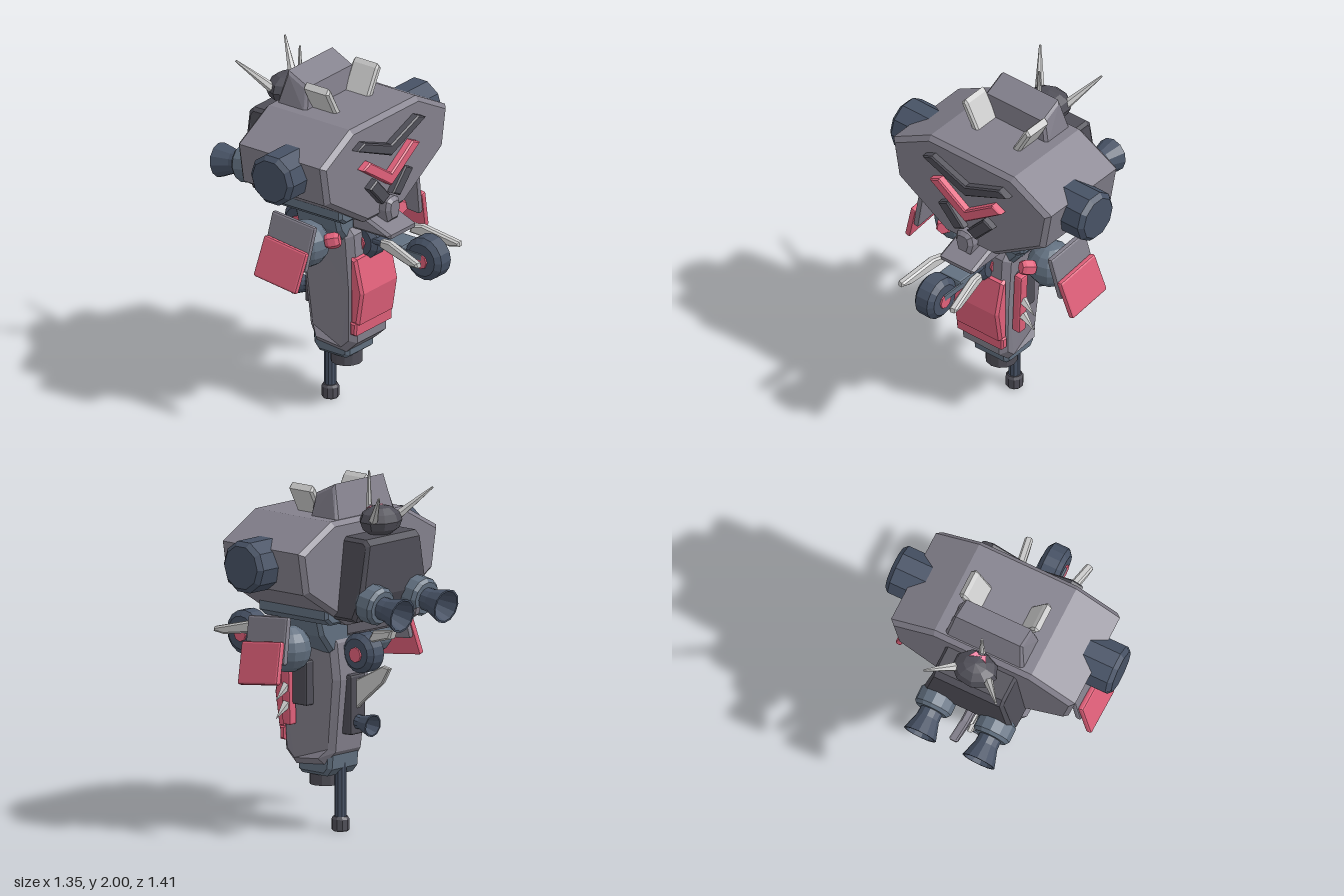
import * as THREE from 'three';
import { RoundedBoxGeometry } from 'three/addons/geometries/RoundedBoxGeometry.js';

const mat = (color) => new THREE.MeshStandardMaterial({ color, flatShading: true, side: THREE.DoubleSide });
const GREY = mat(0x83808c), DARK = mat(0x4f4e57), RED = mat(0xe0607a), NAVY = mat(0x475265);
const STEEL = mat(0x627080), WHITE = mat(0xd8d8d4), PINK = mat(0xff8fb0);

export function createModel() {
  const model = new THREE.Group();

  const add = (name, geo, material, pos = [0, 0, 0], rot = [0, 0, 0]) => {
    const m = new THREE.Mesh(geo, material);
    m.name = name;
    m.position.set(...pos);
    m.rotation.set(...rot);
    model.add(m);
    return m;
  };
  const box = (w, h, d, r = 0.012) => new RoundedBoxGeometry(w, h, d, 1, r);
  // Outline in x,y extruded along z, centred, with a bevel kept inside the outline
  const slab = (pts, depth, bevel = 0.01) => {
    const shape = new THREE.Shape(pts.map((p) => new THREE.Vector2(...p)));
    const g = new THREE.ExtrudeGeometry(shape, {
      depth: depth - 2 * bevel, bevelEnabled: bevel > 0, bevelThickness: bevel,
      bevelSize: bevel, bevelOffset: -bevel, bevelSegments: 1,
    });
    return g.translate(0, 0, bevel - depth / 2);
  };
  // Outline in z,y extruded along x
  const sideSlab = (pts, width, bevel = 0.01) => slab(pts, width, bevel).rotateY(-Math.PI / 2);
  // Turned part along y from [radius, height] pairs
  const turned = (pts, sides = 12) => new THREE.LatheGeometry(pts.map((p) => new THREE.Vector2(...p)), sides);
  const mirrored = (pts) => [...pts, ...pts.slice().reverse().map(([x, y]) => [-x, y])];
  // Tapered spike between two points
  const spike = (name, a, b, r0, r1, material, sides = 6) => {
    const from = new THREE.Vector3(...a), to = new THREE.Vector3(...b);
    const dir = to.clone().sub(from);
    const m = add(name, new THREE.CylinderGeometry(r1, r0, dir.length(), sides), material);
    m.position.copy(from).add(to).multiplyScalar(0.5);
    m.quaternion.setFromUnitVectors(new THREE.Vector3(0, 1, 0), dir.normalize());
  };

  // Chest
  add('chest', slab(mirrored([[0.165, 1.175], [0.51, 1.39], [0.55, 1.62], [0.29, 1.76]]), 0.595, 0.025), GREY, [0, 0, -0.005]);
  const chevron = (name, tipY, innerY, x0, y0, x1, y1, material) =>
    add(name, slab([[0, tipY], [x1, y1], [x0, y0], [0, innerY], [-x0, y0], [-x1, y1]], 0.06, 0.008), material, [0, 0, 0.305]);
  chevron('upperChevron', 1.525, 1.59, 0.235, 1.68, 0.3, 1.65, DARK);
  chevron('middleChevron', 1.35, 1.425, 0.185, 1.55, 0.25, 1.52, RED);
  for (const s of [-1, 1]) {
    add('lowerChevron', slab([[0.01, 1.3], [0.125, 1.425], [0.19, 1.39], [0.075, 1.265]].map(([x, y]) => [s * x, y]), 0.06, 0.008), DARK, [0, 0, 0.305]);
  }
  add('chestGem', slab(mirrored([[0.04, 1.15], [0.06, 1.22], [0.05, 1.27], [0.02, 1.285]]), 0.11, 0.02), GREY, [0, 0, 0.3]);

  // Raised collar block
  const collar = sideSlab([[-0.07, 1.74], [-0.085, 1.88], [-0.22, 1.945], [-0.275, 1.74]], 0.47, 0.015);
  const cp = collar.attributes.position;
  for (let i = 0; i < cp.count; i++) if (cp.getY(i) > 1.83) cp.setX(i, cp.getX(i) * 0.87);
  collar.computeVertexNormals();
  add('collar', collar, GREY);

  // Head facing up, with eyes, nose horn and side horns
  add('head', new THREE.SphereGeometry(0.13, 9, 6).scale(1, 0.65, 0.82), DARK, [0, 1.74, -0.375]);
  add('nose', new THREE.SphereGeometry(0.02, 6, 4), GREY, [0, 1.8, -0.3]);
  spike('noseHorn', [0, 1.76, -0.292], [0, 2, -0.292], 0.02, 0.006, WHITE);

  for (const s of [-1, 1]) {
    add('eye', slab([[0, -0.008], [0.03, -0.022], [0.05, 0.025], [0, 0.005]].map(([x, y]) => [s * x, y]), 0.02, 0), PINK,
      [0, 1.802, -0.325], [-1.15, 0, 0]);
    spike('sideHorn', [s * 0.09, 1.75, -0.405], [s * 0.215, 1.915, -0.56], 0.028, 0.006, WHITE);
    add('collarBlade', slab([[0.11, 1.74], [0.16, 1.74], [0.24, 1.89], [0.215, 1.92], [0.195, 1.9]].map(([x, y]) => [s * x, y]), 0.17, 0.012),
      WHITE, [0, 0, -0.005]);

    // Shoulder drums
    add('shoulder', turned([[0, 0.35], [0.145, 0.35], [0.145, 0.65], [0.12, 0.675], [0, 0.675]], 10), NAVY, [0, 1.525, 0.025], [0, 0, -s * Math.PI / 2]);

    // Back thrusters, pointing back and slightly down
    const tilt = -Math.PI / 2 - 0.16;
    add('thrusterRing', turned([[0, -0.06], [0.09, -0.06], [0.107, -0.04], [0.107, 0.04], [0.09, 0.06], [0.06, 0.06]]), STEEL, [s * 0.175, 1.32, -0.492], [tilt, 0, 0]);
    add('thrusterNozzle', turned([[0, 0], [0.063, 0], [0.065, 0.06], [0.096, 0.16], [0.085, 0.16], [0.05, 0.05], [0, 0.05]]), NAVY, [s * 0.175, 1.31, -0.535], [tilt, 0, 0]);

    // Hip joints and hanging side plates
    add('hipBall', new THREE.SphereGeometry(0.13, 12, 8), STEEL, [s * 0.325, 1.035, 0]);
    add('hipBolt', turned([[0, -0.04], [0.035, -0.04], [0.045, -0.02], [0.045, 0.02], [0.035, 0.04], [0, 0.04]], 6), RED, [s * 0.29, 1.08, 0.155], [1.3, 0, s * 0.5]);
    add('innerPlate', box(0.035, 0.26, 0.29), GREY, [s * 0.475, 1.1, 0.01], [0.09, 0, s * 0.22]);
    add('outerPlate', box(0.036, 0.235, 0.29), RED, [s * 0.54, 0.985, 0.0], [0.12, 0, s * 0.28]);

    // Front tusks and wheel fork
    const tusk = sideSlab([[0.36, 1.045], [0.37, 1.09], [0.44, 1.1], [0.66, 1.045], [0.665, 1.02], [0.6, 1.01]], 0.045, 0.01);
    add('tusk', tusk.translate(0, 0, -0.37), WHITE, [s * 0.13, 0, 0.37], [0, s * 0.18, 0]);
    add('fork', box(0.012, 0.035, 0.2, 0.003), STEEL, [s * 0.07, 1.02, 0.49]);
  }

  // Backpack, narrower towards the top
  const pack = sideSlab([[-0.26, 1.67], [-0.45, 1.67], [-0.48, 1.64], [-0.48, 1.36], [-0.42, 1.22], [-0.26, 1.22]], 0.53, 0.02);
  const pp = pack.attributes.position;
  for (let i = 0; i < pp.count; i++) if (pp.getY(i) > 1.5) pp.setX(i, pp.getX(i) * 0.8);
  pack.computeVertexNormals();
  add('backpack', pack, DARK);

  // Waist and pelvis
  add('waist', slab(mirrored([[0.27, 1.185], [0.315, 1.22], [0.315, 1.27]]), 0.5, 0.015), STEEL, [0, 0, -0.02]);
  add('pelvis', slab(mirrored([[0.14, 1.0], [0.22, 1.1], [0.25, 1.21]]), 0.3, 0.02), STEEL);
  add('frontGuard', sideSlab([[0.405, 1.09], [0.41, 1.115], [0.27, 1.17], [0.15, 1.2], [0.15, 1.09]], 0.24, 0.015), GREY);
  add('tailBlade', sideSlab([[-0.15, 1.08], [-0.4, 1.15], [-0.53, 1.19], [-0.64, 1.26], [-0.65, 1.3], [-0.5, 1.235], [-0.15, 1.21]], 0.05), GREY);
  add('tailTip', sideSlab([[-0.3, 1.06], [-0.46, 1.1], [-0.48, 1.15], [-0.34, 1.13]], 0.06), WHITE);
  add('tailMark', box(0.07, 0.035, 0.07), RED, [0, 1.225, -0.335]);

  // Wheels on one long bar
  add('axleBar', box(0.12, 0.035, 0.72), NAVY, [0, 1.02, 0.09]);
  add('forkBase', box(0.15, 0.05, 0.12), STEEL, [0, 1.03, 0.4]);
  for (const [z, r] of [[0.58, 0.122], [0.16, 0.11], [-0.255, 0.11]]) {
    add('wheel', turned([[0, -0.065], [r * 0.75, -0.065], [r, -0.04], [r, 0.04], [r * 0.75, 0.065], [0, 0.065]], 16), NAVY, [0, 1, z], [0, 0, Math.PI / 2]);
    add('wheelHub', new THREE.CylinderGeometry(0.042, 0.042, 0.15, 8), RED, [0, 0.995, z], [0, 0, Math.PI / 2]);
  }

  // Lower hull with red front plates
  const hull = sideSlab([[0.18, 1.06], [0.205, 0.75], [0.195, 0.43], [0.12, 0.36], [-0.08, 0.38], [-0.14, 0.45],
    [-0.185, 0.85], [-0.16, 1.05], [-0.1, 1.15], [0.1, 1.15]], 0.34, 0.035);
  const hp = hull.attributes.position;
  for (let i = 0; i < hp.count; i++) hp.setX(i, hp.getX(i) * (hp.getY(i) < 0.5 ? 0.92 : 1) * (hp.getZ(i) < -0.1 ? 0.8 : 1));
  hull.computeVertexNormals();
  add('lowerHull', hull, GREY);
  add('frontPlate', sideSlab([[0.17, 0.94], [0.21, 0.93], [0.255, 0.74], [0.225, 0.55], [0.17, 0.55]], 0.32, 0.015), RED);
  add('frontLip', sideSlab([[0.17, 0.56], [0.215, 0.56], [0.21, 0.485], [0.17, 0.485]], 0.325, 0.01), RED);

  // Rear fin, spine box and small nozzle
  add('rearFin', sideSlab([[-0.16, 0.72], [-0.215, 0.69], [-0.27, 0.74], [-0.4, 0.85], [-0.45, 0.935], [-0.4, 0.945], [-0.22, 0.85], [-0.16, 0.86]], 0.03, 0.006), WHITE);
  add('spineBox', box(0.12, 0.33, 0.1), DARK, [0, 0.71, -0.165]);
  add('rearNozzle', turned([[0, 0], [0.042, 0], [0.038, 0.04], [0.064, 0.12], [0.055, 0.12], [0.03, 0.04], [0, 0.04]], 10), NAVY, [0, 0.615, -0.2], [-Math.PI / 2 - 0.08, 0, 0]);

  // Spiked club on the left side
  add('clubMount', box(0.08, 0.25, 0.12), DARK, [0.16, 0.825, 0.04]);
  add('club', box(0.055, 0.38, 0.06), RED, [0.2, 0.775, 0.11], [0, 0, -0.04]);
  for (const y of [0.8, 0.7]) spike('clubSpike', [0.215, y, 0.11], [0.3, y - 0.07, 0.11], 0.028, 0.001, WHITE, 5);

  // Foot and ground rod
  add('footBlock', sideSlab([[0.13, 0.4], [0.125, 0.33], [0.1, 0.31], [-0.08, 0.31], [-0.115, 0.35], [-0.125, 0.46], [0.1, 0.46]], 0.24, 0.02), STEEL);
  add('footDrum', new THREE.CylinderGeometry(0.087, 0.087, 0.1, 12), DARK, [0, 0.295, 0.025]);
  add('rod', new THREE.CylinderGeometry(0.033, 0.033, 0.4, 10), NAVY, [0, 0.25, -0.085]);
  add('rodTip', turned([[0, 0], [0.042, 0], [0.049, 0.01], [0.049, 0.065], [0.04, 0.08], [0, 0.08]], 10), DARK, [0, 0, -0.085]);

  return model;
}
